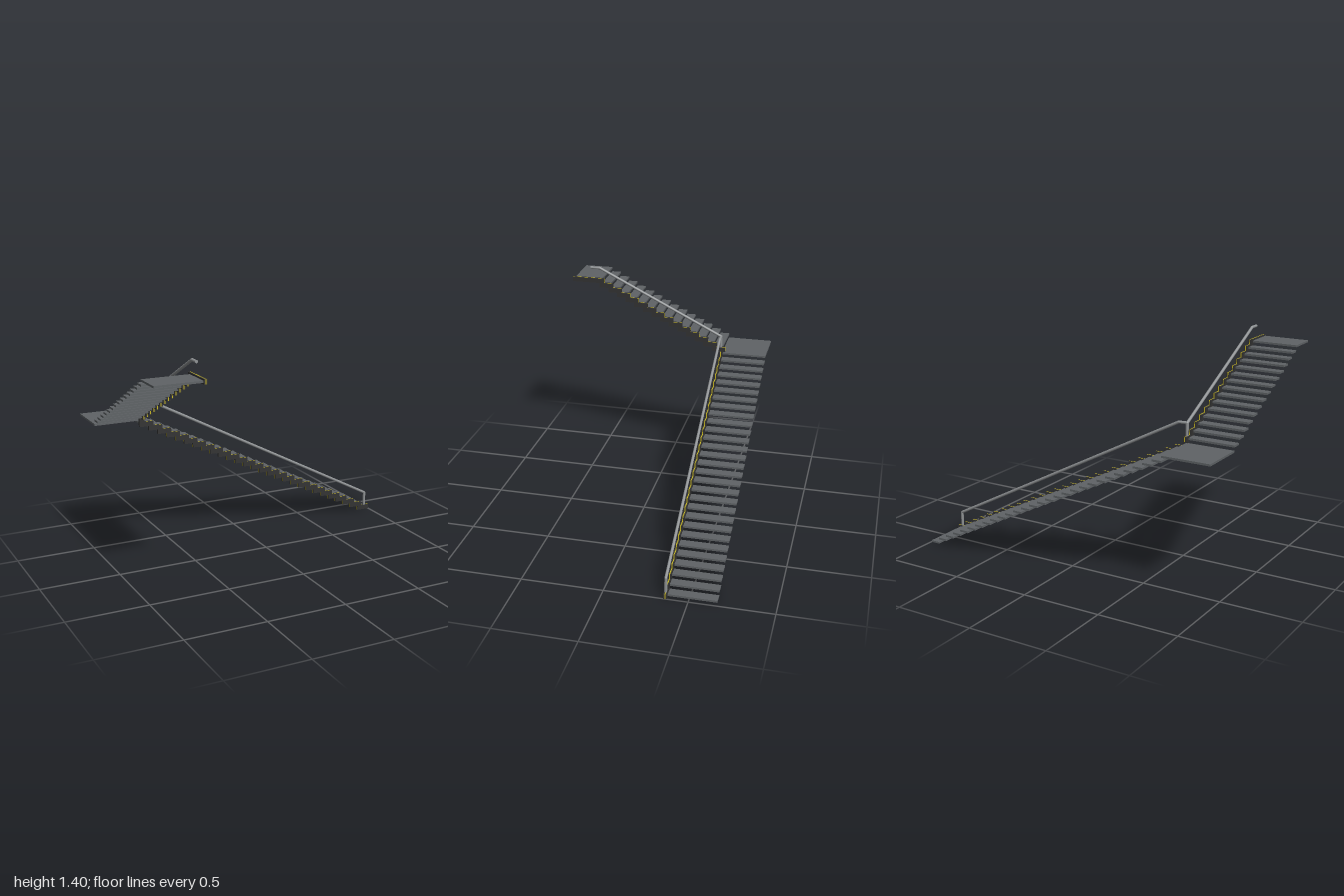
import * as THREE from 'three';

const RUN = 0.06, RISE = 0.03, LAP = 0.09;

const mat = (name, color) => {
  const m = new THREE.MeshStandardMaterial({ color });
  m.name = name;
  return m;
};

// Stepped side outline: overlapping blocks climbing along +x, last one ends at endU
function steppedShape(count, endU) {
  const right = (j) => (j === count - 1 ? endU : j * RUN + LAP);
  const pts = [];
  for (let j = 0; j < count; j++) pts.push([right(j), j * RISE], [right(j), (j + 1) * RISE]);
  for (let j = count - 1; j >= 0; j--) pts.push([j * RUN, (j + 1) * RISE], [j * RUN, j * RISE]);
  return new THREE.Shape(pts.map(([x, y]) => new THREE.Vector2(x, y)));
}

export function createModel() {
  const model = new THREE.Group();
  model.name = 'cornerStaircase';
  const treadMat = mat('slateGrey', 0x5f6366);
  const stringerMat = mat('charcoal', 0x333333);
  const coreMat = mat('yellow', 0xc8b820);
  const railMat = mat('steelGrey', 0x8f9294);

  // Box given by its minimum and maximum corners
  const box = (name, parent, material, a, b) => {
    const mesh = new THREE.Mesh(new THREE.BoxGeometry(b[0] - a[0], b[1] - a[1], b[2] - a[2]), material);
    mesh.position.set((a[0] + b[0]) / 2, (a[1] + b[1]) / 2, (a[2] + b[2]) / 2);
    mesh.name = name;
    parent.add(mesh);
  };
  const group = (name) => {
    const g = new THREE.Group();
    g.name = name;
    model.add(g);
    return g;
  };

  // Treads and landings
  const T = 0.006;
  const lower = group('lowerTreads');
  for (let i = 0; i < 28; i++) {
    const x = 0.98 - i * RUN, y = 0.016 + i * RISE;
    box('lowerTread', lower, treadMat, [x - RUN, y - T, -0.665], [x, y + T, -0.37]);
  }
  box('cornerLanding', model, treadMat, [-1, 0.85, -0.665], [-0.70, 0.862, -0.37]);
  const upper = group('upperTreads');
  for (let i = 0; i < 14; i++) {
    const z = -0.37 + i * RUN, y = 0.886 + i * RISE;
    box('upperTread', upper, treadMat, [-1, y - T, z], [-0.71, y + T, z + RUN]);
  }
  box('topLanding', model, treadMat, [-1, 1.3, 0.47], [-0.71, 1.312, 0.658]);

  // Stringers: two dark plates around a yellow core
  const layers = [
    ['stringerPlate', stringerMat, 0, 0.008],
    ['stringerCore', coreMat, 0.008, 0.006],
    ['stringerPlate', stringerMat, 0.014, 0.008],
  ];
  const stringer = (name, shape) => {
    const g = group(name);
    for (const [part, material, offset, depth] of layers) {
      const geo = new THREE.ExtrudeGeometry(shape, { depth, bevelEnabled: false });
      geo.translate(0, 0, offset);
      const mesh = new THREE.Mesh(geo, material);
      mesh.name = part;
      g.add(mesh);
    }
    return g;
  };
  const low = stringer('lowerStringer', steppedShape(29, 1.71));
  low.rotation.y = Math.PI;
  low.position.set(1, 0.001, -0.354);
  const up = stringer('upperStringer', steppedShape(15, 1.058));
  up.rotation.y = -Math.PI / 2;
  up.position.set(-0.69, 0.871, -0.393);
  box('cornerBlock', model, stringerMat, [-0.712, 0.82, -0.376], [-0.69, 0.872, -0.354]);

  // Handrails: round bars with ball joints at the bends
  const R = 0.009, upAxis = new THREE.Vector3(0, 1, 0);
  const rail = (name, points) => {
    const g = group(name);
    const v = points.map((p) => new THREE.Vector3(...p));
    for (let i = 0; i < v.length - 1; i++) {
      const dir = v[i + 1].clone().sub(v[i]);
      const bar = new THREE.Mesh(new THREE.CylinderGeometry(R, R, dir.length(), 12), railMat);
      bar.position.copy(v[i]).addScaledVector(dir, 0.5);
      bar.quaternion.setFromUnitVectors(upAxis, dir.normalize());
      bar.name = 'railBar';
      g.add(bar);
      if (i > 0) {
        const joint = new THREE.Mesh(new THREE.SphereGeometry(R, 12, 8), railMat);
        joint.position.copy(v[i]);
        joint.name = 'railJoint';
        g.add(joint);
      }
    }
  };
  const Z = -0.363, X = -0.70;
  rail('lowerHandrail', [[0.97, 0.02, Z], [0.97, 0.122, Z], [-0.645, 0.975, Z], [X, 0.977, Z]]);
  rail('upperHandrail', [[X, 0.86, Z], [X, 0.977, Z], [X, 1.393, 0.477], [X, 1.393, 0.54]]);

  return model;
}
